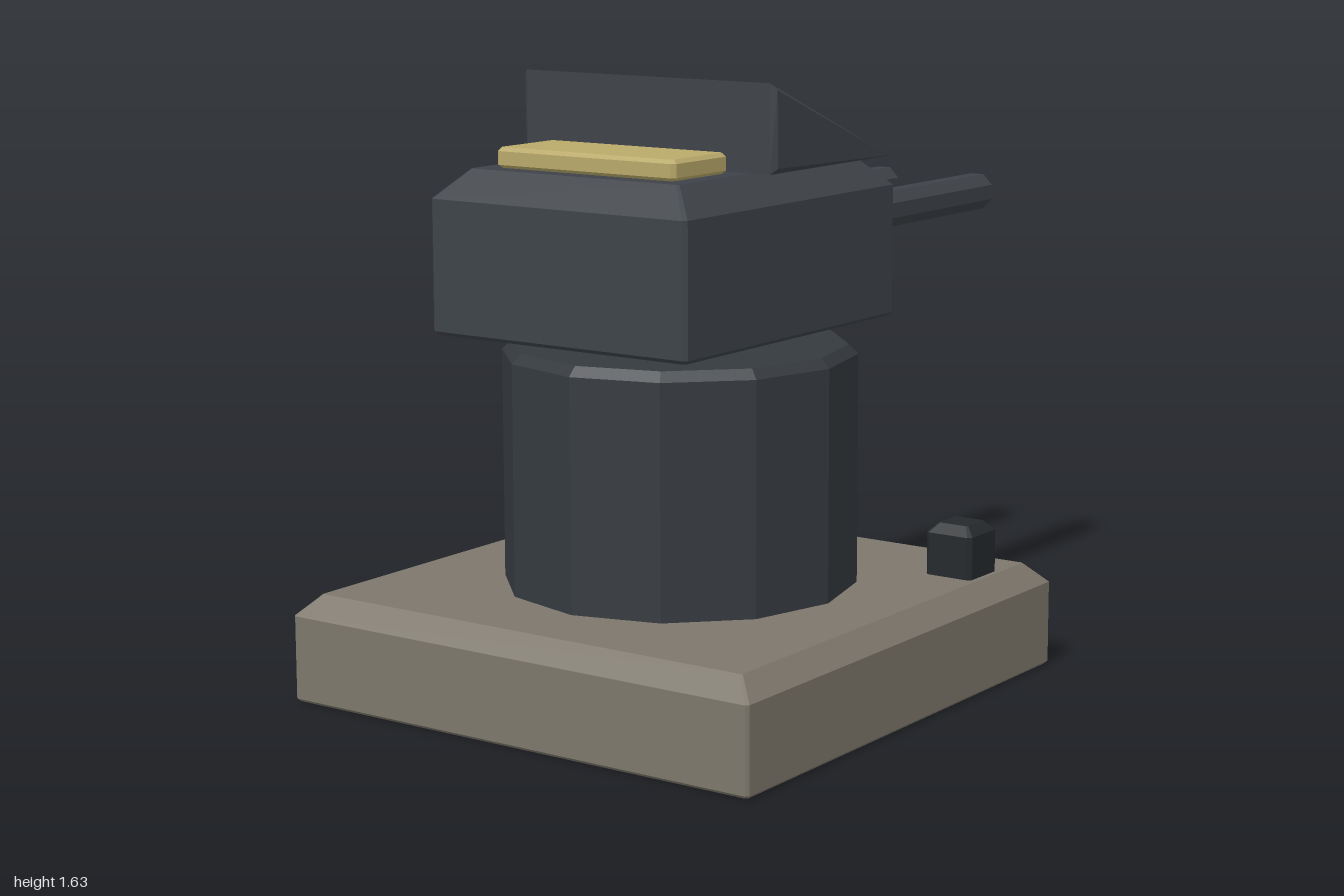
import * as THREE from 'three';
import { ConvexGeometry } from 'three/addons/geometries/ConvexGeometry.js';

const material = (color) => new THREE.MeshStandardMaterial({ color, flatShading: true });
const stone = material(0x7d776c);
const steel = material(0x3e4349);
const drumSteel = material(0x353a3f);
const darkSteel = material(0x25292c);
const brass = material(0xb9a96a);

// Rectangle ring with cut corners at height y
function ring(hw, hd, y, cut) {
  const points = [];
  for (const sx of [-1, 1]) for (const sz of [-1, 1]) {
    points.push(new THREE.Vector3(sx * hw, y, sz * (hd - cut)));
    points.push(new THREE.Vector3(sx * (hw - cut), y, sz * hd));
  }
  return points;
}

// Block standing on y = 0 with a chamfered top and a fine bevel elsewhere
function block(w, h, d, chamfer, bevel) {
  const hw = w / 2, hd = d / 2;
  return new ConvexGeometry([
    ...ring(hw - bevel, hd - bevel, 0, bevel),
    ...ring(hw, hd, bevel, bevel),
    ...ring(hw, hd, h - chamfer, bevel),
    ...ring(hw - chamfer, hd - chamfer, h, bevel / 2),
  ]);
}

// Faceted round part from [radius, height] pairs
function turned(profile, sides, start = 0) {
  return new THREE.LatheGeometry(profile.map(([r, y]) => new THREE.Vector2(r, y)), sides, start);
}

export function createModel() {
  const model = new THREE.Group();
  const add = (name, geometry, mat, x, y, z) => {
    const mesh = new THREE.Mesh(geometry, mat);
    mesh.name = name;
    mesh.position.set(x, y, z);
    model.add(mesh);
  };

  // Plinth and drum pedestal
  add('base', block(1.44, 0.285, 1.45, 0.055, 0.008), stone, 0, 0, 0.275);
  const drumProfile = [[0, 0], [0.47, 0], [0.47, 0.615], [0.445, 0.64], [0, 0.64]];
  add('drum', turned(drumProfile, 12), drumSteel, 0, 0.283, 0.275);

  // Floating head with sloped shoulders
  add('head', block(0.8, 0.425, 0.945, 0.075, 0.01), steel, 0, 0.975, 0.3275);

  // Wedge hood: side profile drawn in z and y, extruded across x
  const side = new THREE.Shape([
    new THREE.Vector2(-0.13, 1.4),
    new THREE.Vector2(0.42, 1.4),
    new THREE.Vector2(0.42, 1.628),
  ]);
  const hood = new THREE.ExtrudeGeometry(side, {
    depth: 0.77, bevelEnabled: true, bevelSegments: 1,
    bevelThickness: 0.015, bevelSize: 0.015, bevelOffset: -0.015,
  });
  hood.translate(0, 0, -0.385).rotateY(-Math.PI / 2);
  add('hood', hood, steel, 0, 0, 0);

  add('panel', block(0.56, 0.055, 0.23, 0.01, 0.01), brass, 0, 1.398, 0.565);

  // Twin barrels and rear posts
  const barrelProfile = [[0, 0], [0.054, 0], [0.054, 0.885], [0.038, 0.9], [0, 0.9]];
  const barrel = turned(barrelProfile, 8, Math.PI / 8).rotateX(-Math.PI / 2);
  const post = block(0.14, 0.415, 0.14, 0.025, 0.01);
  for (const [label, s] of [['left', 1], ['right', -1]]) {
    add(label + 'Barrel', barrel, steel, s * 0.16, 1.21, -0.1);
    add(label + 'Post', post, darkSteel, s * 0.58, 0.01, -0.207);
  }
  return model;
}
